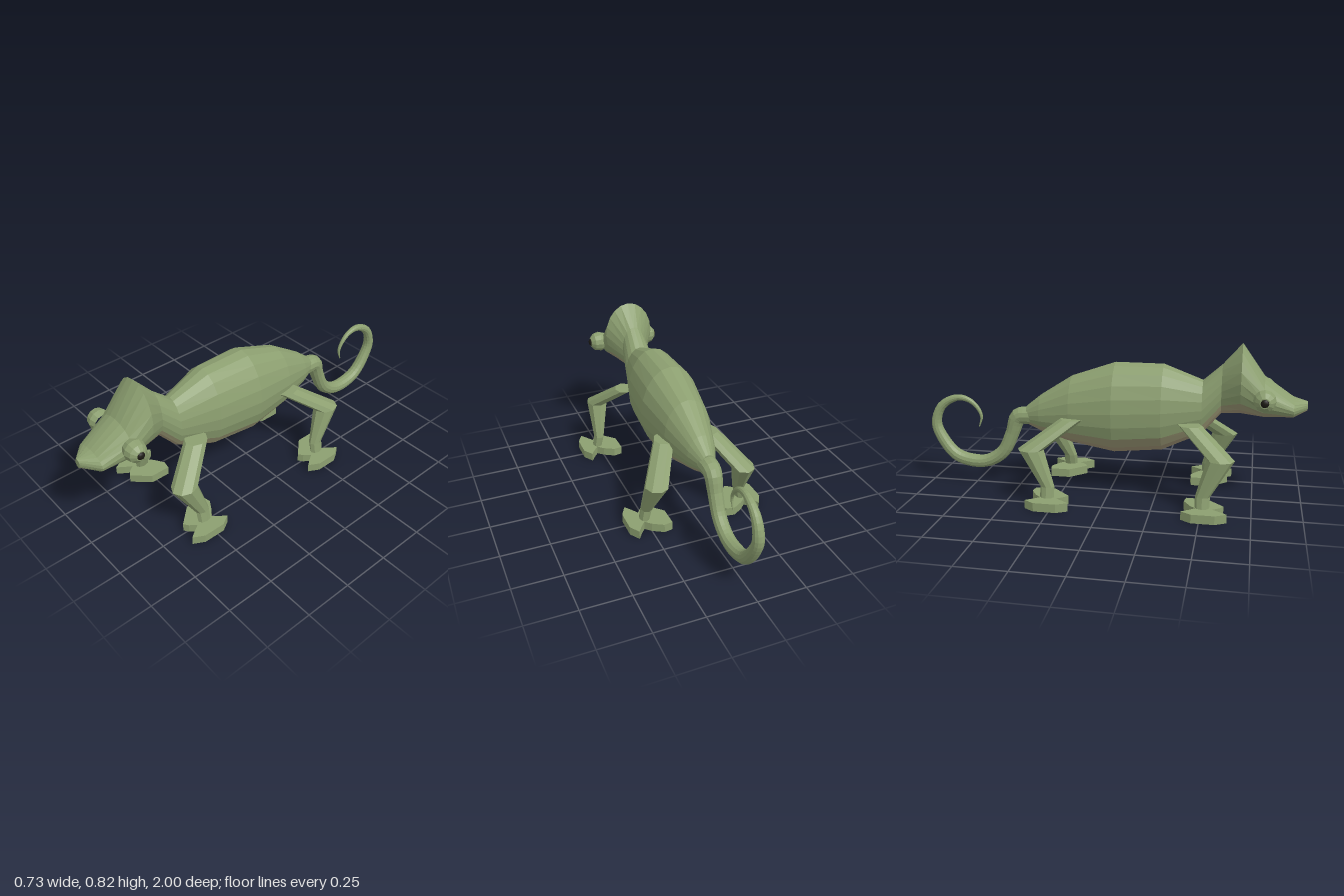
import * as THREE from 'three';

const flat = (hex, name) => {
  const m = new THREE.MeshStandardMaterial({ color: hex });
  m.name = name;
  return m;
};

// Faceted skin through a row of closed rings, capped at both ends.
// paint(j, n) gives the material index of each lengthwise strip.
function loft(rings, paint = () => 0) {
  const n = rings[0].length, pos = [];
  const geo = new THREE.BufferGeometry();
  const tri = (...pts) => pts.forEach((p) => pos.push(p.x, p.y, p.z));
  for (let j = 0; j < n; j++) {
    const k = (j + 1) % n, start = pos.length / 3;
    for (let i = 0; i < rings.length - 1; i++) {
      const a = rings[i], b = rings[i + 1];
      tri(a[j], a[k], b[k]);
      tri(a[j], b[k], b[j]);
    }
    geo.addGroup(start, pos.length / 3 - start, paint(j, n));
  }
  const start = pos.length / 3;
  const first = rings[0], last = rings[rings.length - 1];
  for (let j = 1; j < n - 1; j++) {
    tri(first[0], first[j + 1], first[j]);
    tri(last[0], last[j], last[j + 1]);
  }
  geo.addGroup(start, pos.length / 3 - start, 0);
  geo.setAttribute('position', new THREE.Float32BufferAttribute(pos, 3));
  geo.computeVertexNormals();
  return geo;
}

// Ring of n points around a centre, spanned by two half-axis vectors.
function ring(c, u, v, n) {
  return Array.from({ length: n }, (_, j) => {
    const a = (j / n) * Math.PI * 2;
    return c.clone().addScaledVector(u, Math.cos(a)).addScaledVector(v, Math.sin(a));
  });
}

const V = (x, y, z) => new THREE.Vector3(x, y, z);

function faceted(geo) {
  const g = geo.toNonIndexed();
  g.computeVertexNormals();
  return g;
}

export function createModel() {
  const green = flat(0x8c9f70, 'skin green');
  const mid = flat(0x999673, 'flank olive');
  const belly = flat(0xa09476, 'belly tan');
  const dark = flat(0x1c1a14, 'pupil black');

  const model = new THREE.Group();
  model.name = 'lizard';
  const add = (name, geo, mat, parent = model) => {
    const m = new THREE.Mesh(geo, mat);
    m.name = name;
    parent.add(m);
    return m;
  };

  // Cross-sections: z, bottom, top, half width
  const torsoSections = [
    [-0.45, 0.35, 0.45, 0.04], [-0.37, 0.315, 0.515, 0.075],
    [-0.2, 0.265, 0.625, 0.125], [0.03, 0.225, 0.705, 0.16],
    [0.28, 0.25, 0.705, 0.142], [0.48, 0.345, 0.63, 0.085],
    [0.575, 0.46, 0.715, 0.07],
  ];
  const headSections = [
    [0.575, 0.46, 0.715, 0.07], [0.67, 0.468, 0.825, 0.136],
    [0.785, 0.457, 0.66, 0.132], [0.93, 0.462, 0.56, 0.1],
    [1.0, 0.495, 0.543, 0.018],
  ];
  const skin = [green, mid, belly];
  // Strips near the underside take the belly colours
  const underside = (j, n) => {
    const d = Math.abs(j + 0.5 - n * 0.75);
    return d < 2 ? 2 : d < 3 ? 1 : 0;
  };
  const sections = (rows) => rows.map(([z, lo, hi, w]) =>
    ring(V(0, (lo + hi) / 2, z), V(w, 0, 0), V(0, (hi - lo) / 2, 0), 20));
  add('torso', loft(sections(torsoSections), underside), skin);
  add('head', loft(sections(headSections), underside), skin);

  // Curled tapering tail: y, z, radius
  const tailPoints = [
    [0.396, -0.43, 0.05], [0.385, -0.5, 0.046], [0.294, -0.537, 0.038],
    [0.187, -0.59, 0.036], [0.128, -0.676, 0.035], [0.12, -0.767, 0.036],
    [0.15, -0.864, 0.034], [0.24, -0.939, 0.031], [0.326, -0.97, 0.028],
    [0.422, -0.936, 0.024], [0.473, -0.848, 0.018], [0.465, -0.783, 0.014],
    [0.428, -0.735, 0.011], [0.374, -0.71, 0.008], [0.316, -0.725, 0.003],
  ];
  const path = new THREE.CatmullRomCurve3(tailPoints.map(([y, z]) => V(0, y, z)));
  const steps = 56, tailRings = [];
  for (let i = 0; i <= steps; i++) {
    const t = i / steps, f = t * (tailPoints.length - 1);
    const k = Math.min(Math.floor(f), tailPoints.length - 2);
    const r = THREE.MathUtils.lerp(tailPoints[k][2], tailPoints[k + 1][2], f - k);
    const side = V(1, 0, 0);
    const up = path.getTangent(t).cross(side).normalize();
    tailRings.push(ring(path.getPoint(t), side.multiplyScalar(r), up.multiplyScalar(r), 12));
  }
  add('tail', loft(tailRings), green);

  // Leg rings from ankle to shoulder: x, y, rx, rz
  const legRings = [
    [0.27, 0.04, 0.025, 0.036], [0.257, 0.1, 0.028, 0.037],
    [0.233, 0.285, 0.059, 0.068], [0.12, 0.422, 0.051, 0.061],
  ];
  const legZ = {
    front: { z: [0.51, 0.51, 0.592, 0.427], foot: 0.522 },
    rear: { z: [-0.278, -0.278, -0.367, -0.178], foot: -0.267 },
  };
  // Grasping foot outline, inner toes swept backward: x, z from the foot centre
  const footOutline = [
    [0.332, 0.112], [0.363, 0.055], [0.363, -0.06], [0.33, -0.112],
    [0.305, -0.075], [0.28, -0.045], [0.25, -0.075], [0.195, -0.108],
    [0.15, -0.1], [0.15, 0.005], [0.232, 0.092], [0.257, 0.075],
    [0.283, 0.04], [0.305, 0.075],
  ];

  for (const s of [1, -1]) {
    const sideName = s > 0 ? 'Left' : 'Right';
    for (const [end, { z, foot }] of Object.entries(legZ)) {
      const leg = new THREE.Group();
      leg.name = end + sideName + 'Leg';
      model.add(leg);
      add('limb', loft(legRings.map(([x, y, rx, rz], i) =>
        ring(V(s * x, y, z[i]), V(0, 0, rz), V(rx, 0, 0), 8))), green, leg);

      const shape = new THREE.Shape(
        footOutline.map(([x, dz]) => new THREE.Vector2(s * x, -(foot + dz))));
      const footGeo = new THREE.ExtrudeGeometry(shape, { depth: 0.045, bevelEnabled: false });
      footGeo.rotateX(-Math.PI / 2);
      add('foot', footGeo, green, leg);
    }

    // Turret eye with a domed pupil
    const eye = new THREE.Group();
    eye.name = 'eye' + sideName;
    eye.position.set(0, 0.57, 0.787);
    model.add(eye);
    const profile = [[0.045, 0.11], [0.056, 0.143], [0.048, 0.177],
      [0.026, 0.197], [0, 0.199]].map((p) => new THREE.Vector2(...p));
    const turret = faceted(new THREE.LatheGeometry(profile, 12));
    turret.rotateZ(-s * Math.PI / 2);
    add('eyeTurret', turret, green, eye);
    const pupil = new THREE.SphereGeometry(0.022, 12, 8);
    pupil.scale(0.75, 1, 1);
    add('pupil', pupil, dark, eye).position.x = s * 0.192;
  }
  return model;
}
